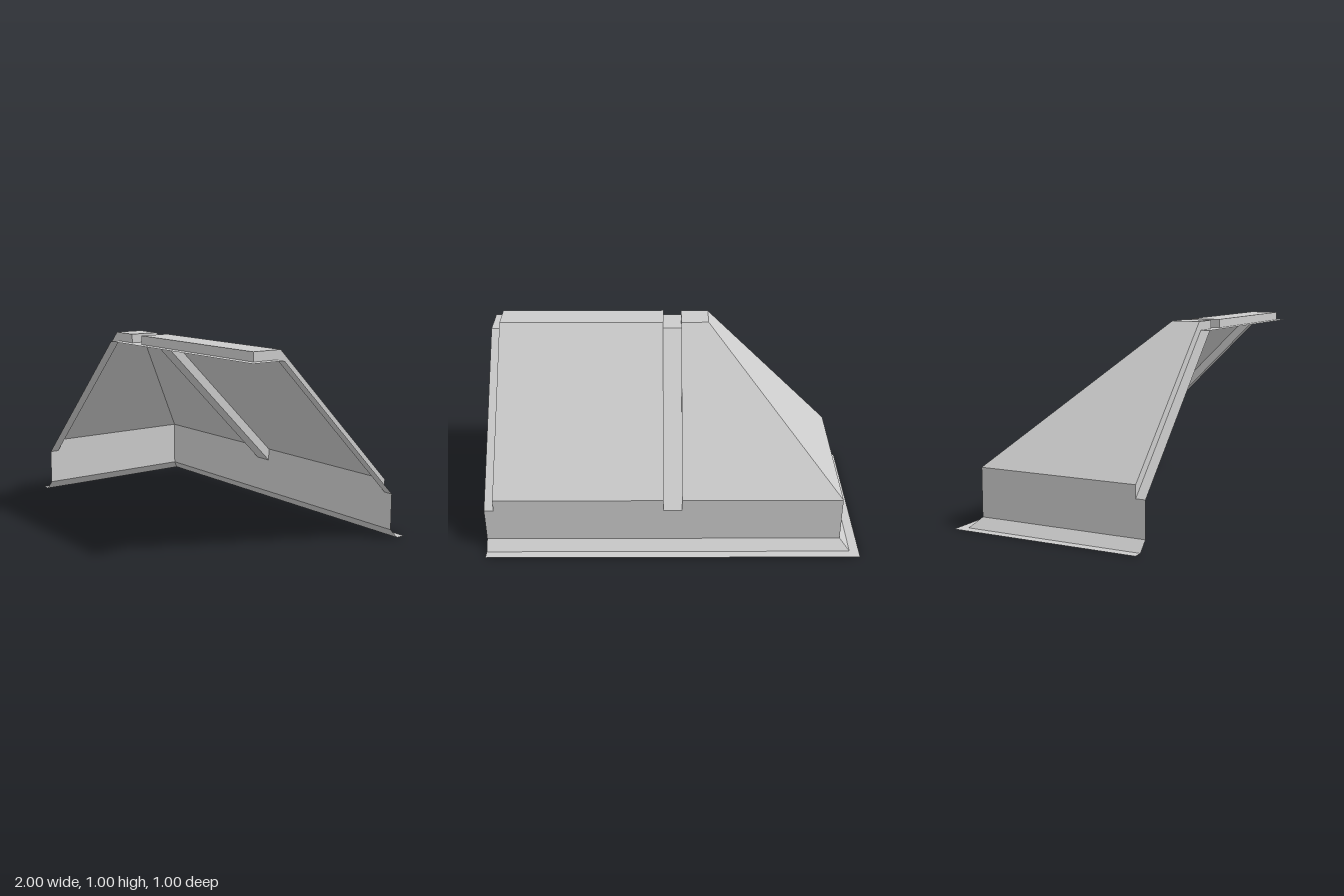
import * as THREE from 'three';

const material = new THREE.MeshStandardMaterial({ color: 0xcccccc, flatShading: true, side: THREE.DoubleSide });

// Thin sheet joining two polylines with the same number of points
function sheet(name, a, b) {
  const pos = [];
  for (let i = 0; i < a.length - 1; i++) {
    for (const p of [a[i], a[i + 1], b[i + 1], a[i], b[i + 1], b[i]]) pos.push(...p);
  }
  const geometry = new THREE.BufferGeometry();
  geometry.setAttribute('position', new THREE.Float32BufferAttribute(pos, 3));
  geometry.computeVertexNormals();
  const mesh = new THREE.Mesh(geometry, material);
  mesh.name = name;
  return mesh;
}

const FRONT = 0.5, BACK = -0.4, LEFT = -0.9, END = 1;
const EAVE = 0.3, EAVE_LOW = 0.235, TOP = 1, TOP_LOW = 0.955;

// L-shaped course around the two walled sides, d outside the wall
const course = (d, y) => [[LEFT - d, y, FRONT], [LEFT - d, y, BACK - d], [END, y, BACK - d]];
// Roof section across z: raised panel surface and channel floor
const high = (x, z) => [[x, EAVE, BACK], [x, TOP, 0.3], [x, TOP, z]];
const low = (x, z) => [[x, EAVE_LOW, BACK], [x, TOP_LOW, 0.32], [x, TOP_LOW, z]];
// Channel floor section along x
const lowAcross = (z, x) => [[LEFT, EAVE_LOW, z], [-0.18, TOP_LOW, z], [x, TOP_LOW, z]];

export function createModel() {
  const model = new THREE.Group();
  model.name = 'hippedRoofSection';

  // Base: flat flange, sloped skirt and upright wall
  model.add(
    sheet('flange', course(0.05, 0), course(0.1, 0)),
    sheet('skirt', course(0, 0.05), course(0.05, 0)),
    sheet('wall', course(0, EAVE_LOW), course(0, 0.05)),
  );

  // Recessed channels between the raised panels
  const z1 = 0.45, z2 = 0.457;
  model.add(
    sheet('middleChannel', low(-0.05, z1), low(0.05, z1)),
    sheet('endChannel', low(0.95, z1), low(END, z1)),
    sheet('frontChannel', lowAcross(FRONT, END), lowAcross(z1, END)),
  );

  // Raised hipped panel
  const hip = new THREE.Group();
  hip.name = 'hippedPanel';
  const eaveLine = y => [[LEFT, y, z1], [LEFT, y, BACK], [-0.05, y, BACK]];
  hip.add(
    sheet('hipBackAndTop', [[LEFT, EAVE, BACK], [-0.2, TOP, 0.3], [-0.2, TOP, z1]], high(-0.05, z1)),
    sheet('hipSide', [[LEFT, EAVE, z1], [-0.2, TOP, z1]], [[LEFT, EAVE, BACK], [-0.2, TOP, 0.3]]),
    sheet('hipEave', eaveLine(EAVE), eaveLine(EAVE_LOW)),
    sheet('hipEndLip', high(-0.05, z1), low(-0.05, z1)),
    sheet('hipFrontLip', lowAcross(z1, -0.05), [[LEFT, EAVE, z1], [-0.2, TOP, z1], [-0.05, TOP, z1]]),
  );
  model.add(hip);

  // Raised straight panel
  const panel = new THREE.Group();
  panel.name = 'straightPanel';
  const line = (y, z) => [[0.05, y, z], [0.95, y, z]];
  panel.add(
    sheet('panelBackAndTop', high(0.05, z2), high(0.95, z2)),
    sheet('panelEave', line(EAVE, BACK), line(EAVE_LOW, BACK)),
    sheet('panelInnerLip', low(0.05, z2), high(0.05, z2)),
    sheet('panelOuterLip', high(0.95, z2), low(0.95, z2)),
    sheet('panelFrontLip', line(TOP_LOW, z2), line(TOP, z2)),
  );
  model.add(panel);

  return model;
}
